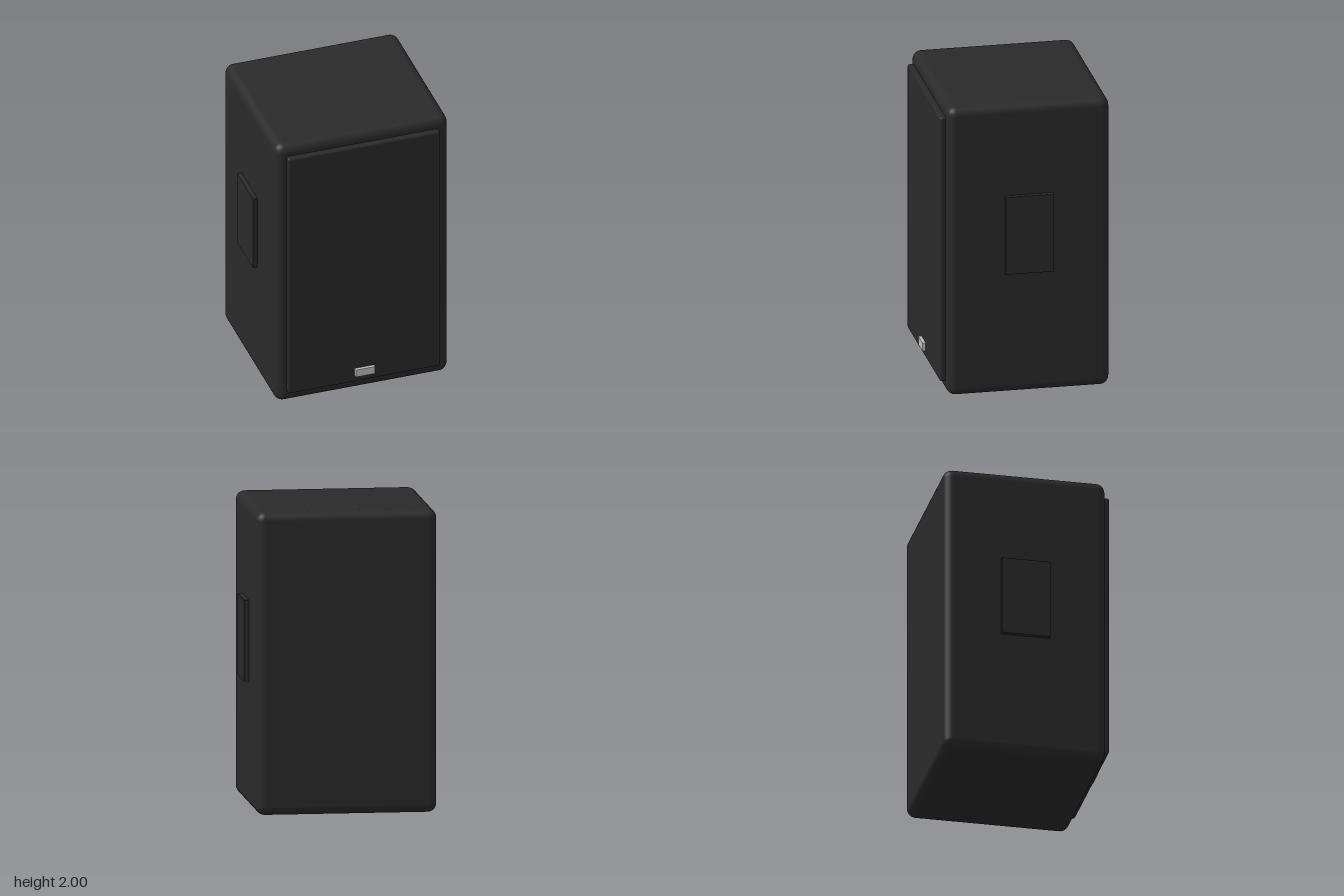
import * as THREE from 'three';
import { RoundedBoxGeometry } from 'three/addons/geometries/RoundedBoxGeometry.js';

export function createModel() {
  const group = new THREE.Group();
  const black = new THREE.MeshStandardMaterial({ color: 0x2a2a2a });
  black.name = 'cabinet black';
  const silver = new THREE.MeshStandardMaterial({ color: 0xc0c0c0 });
  silver.name = 'badge silver';

  // Places a box between two corners; a radius rounds its edges
  function addBox(name, min, max, material, radius = 0) {
    const size = max.map((v, i) => v - min[i]);
    const geometry = radius
      ? new RoundedBoxGeometry(...size, 4, radius)
      : new THREE.BoxGeometry(...size);
    const mesh = new THREE.Mesh(geometry, material);
    mesh.name = name;
    mesh.position.set(...max.map((v, i) => (v + min[i]) / 2));
    group.add(mesh);
  }

  // Speaker cabinet and front grille
  addBox('cabinet', [-0.595, 0, -0.57], [0.595, 2, 0.51], black, 0.06);
  addBox('grille', [-0.525, 0.085, 0.46], [0.525, 1.92, 0.548], black, 0.015);

  // Blank badge plate at the bottom of the grille
  addBox('badge', [-0.067, 0.137, 0.53], [0.067, 0.192, 0.57], silver);

  // Handle plates on both sides
  for (const [name, side] of [['leftHandle', 1], ['rightHandle', -1]]) {
    const x = [side * 0.56, side * 0.627];
    addBox(name, [Math.min(...x), 0.835, -0.192], [Math.max(...x), 1.372, 0.13], black);
  }

  return group;
}
